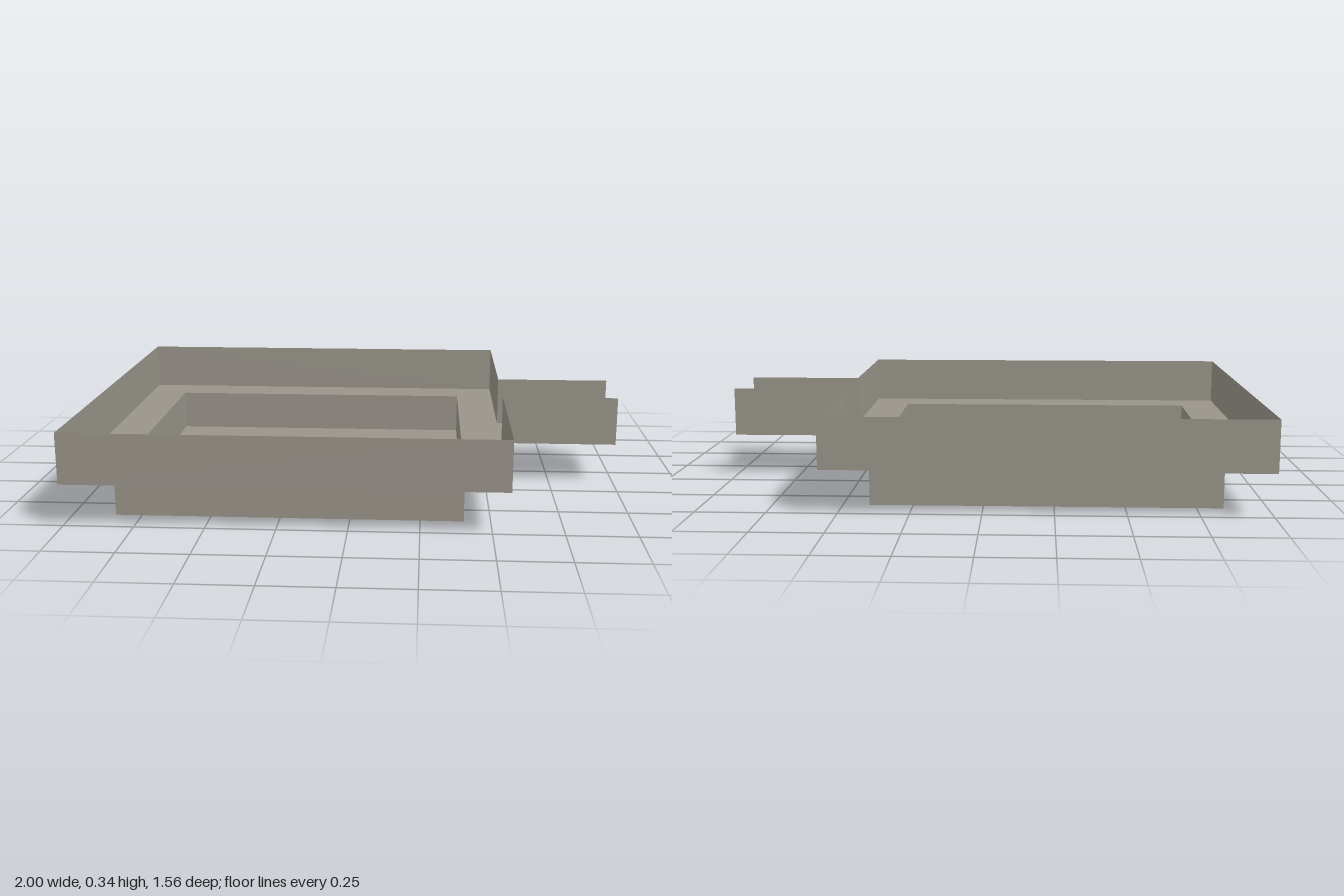
import * as THREE from 'three';

const RIM_Y = 0.345, LEDGE_Y = 0.16;

// Corner points are [x, z]
const trayOutline = [
  [1, 0.155], [0.56, 0.155], [0.56, 0.78], [-1, 0.78],
  [-1, -0.78], [0.56, -0.78], [0.56, -0.155], [1, -0.155],
];
const basinOutline = [[0.405, 0.625], [-0.845, 0.625], [-0.845, -0.625], [0.405, -0.625]];

export function createModel() {
  const group = new THREE.Group();
  const metal = new THREE.MeshStandardMaterial({ color: 0x98948a, side: THREE.DoubleSide });
  metal.name = 'warmGrey';

  function add(name, geometry) {
    const mesh = new THREE.Mesh(geometry, metal);
    mesh.name = name;
    group.add(mesh);
    return mesh;
  }

  // Upright sheet walls along an outline
  function addWalls(name, points, y0, y1, closed) {
    const count = closed ? points.length : points.length - 1;
    for (let i = 0; i < count; i++) {
      const [ax, az] = points[i];
      const [bx, bz] = points[(i + 1) % points.length];
      const wall = add(name + (i + 1), new THREE.PlaneGeometry(Math.hypot(bx - ax, bz - az), y1 - y0));
      wall.position.set((ax + bx) / 2, (y0 + y1) / 2, (az + bz) / 2);
      wall.rotation.y = Math.atan2(bz - az, ax - bx);
    }
  }

  // Level sheet facing up, optionally with an opening
  function addFloor(name, points, y, opening) {
    const toShape = ([x, z]) => new THREE.Vector2(x, -z);
    const shape = new THREE.Shape(points.map(toShape));
    if (opening) shape.holes.push(new THREE.Path(opening.map(toShape)));
    add(name, new THREE.ShapeGeometry(shape).rotateX(-Math.PI / 2)).position.y = y;
  }

  // Upper tray with its open-ended spout
  addWalls('trayWall', trayOutline, LEDGE_Y, RIM_Y, false);
  addFloor('ledgeAndSpoutFloor', trayOutline, LEDGE_Y, basinOutline);

  // Sunken basin
  addWalls('basinWall', basinOutline, 0, LEDGE_Y, true);
  addFloor('basinFloor', basinOutline, 0);

  return group;
}
